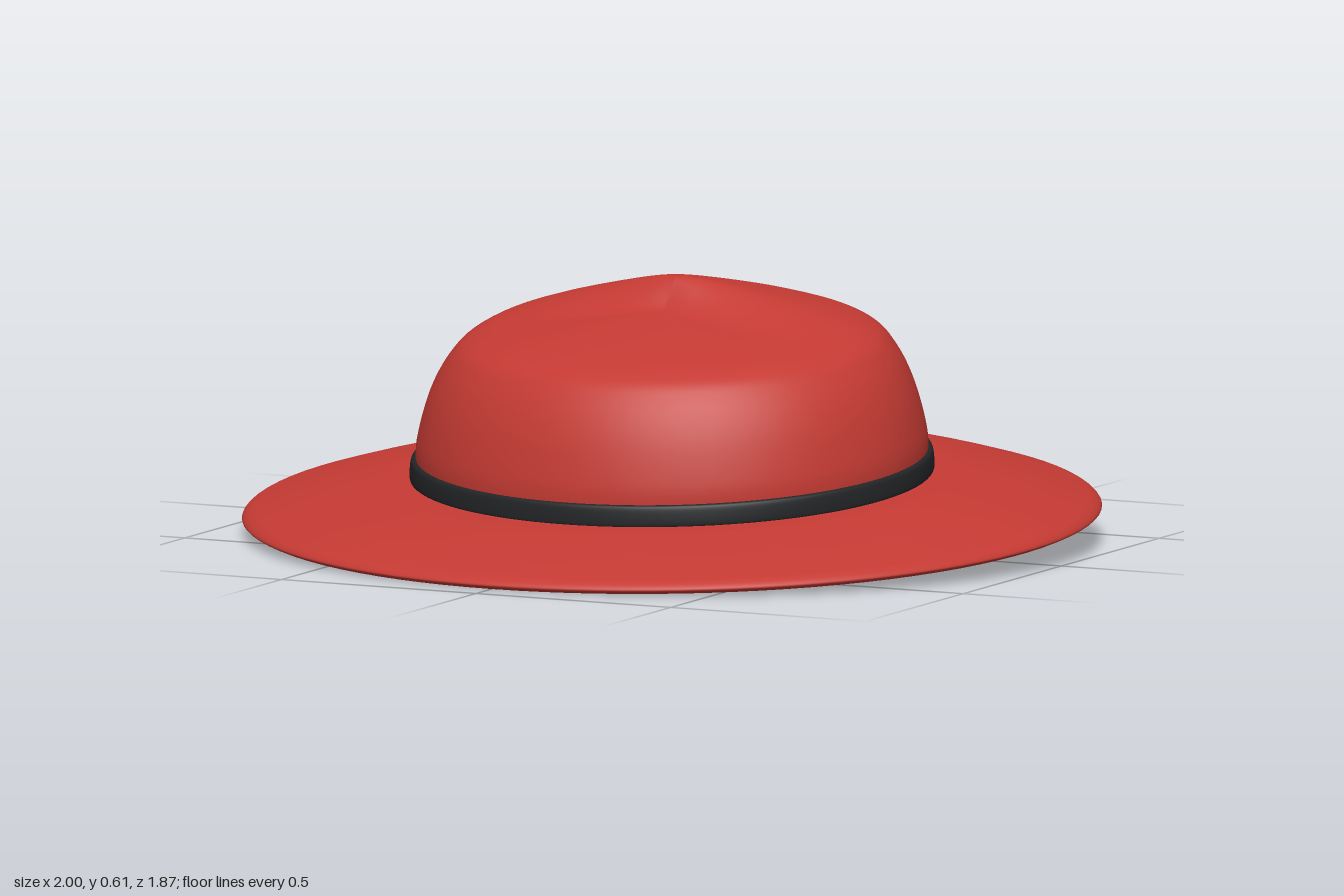
import * as THREE from 'three';
import { mergeVertices } from 'three/addons/utils/BufferGeometryUtils.js';

const felt = new THREE.MeshStandardMaterial({ color: 0xc43a33, side: THREE.DoubleSide });
const ribbon = new THREE.MeshStandardMaterial({ color: 0x222426, side: THREE.DoubleSide });
const CROWN_R = 0.6;

// Smooth profile through a few [radius, height] points
function profile(points, steps) {
  const curve = new THREE.SplineCurve(points.map(([r, y]) => new THREE.Vector2(r, y)));
  return curve.getPoints(steps).map((p) => p.setX(Math.max(0, p.x)));
}

// Revolve a profile, then move every vertex by a rule; weld for seamless normals
function revolved(name, points, material, rule) {
  let geo = new THREE.LatheGeometry(points, 96);
  geo.deleteAttribute('uv');
  geo.deleteAttribute('normal');
  const pos = geo.attributes.position;
  const v = new THREE.Vector3();
  for (let i = 0; i < pos.count; i++) {
    v.fromBufferAttribute(pos, i);
    rule(v, Math.hypot(v.x, v.z));
    pos.setXYZ(i, v.x, v.y, v.z);
  }
  geo = mergeVertices(geo, 1e-5);
  geo.computeVertexNormals();
  const mesh = new THREE.Mesh(geo, material);
  mesh.name = name;
  return mesh;
}

// Oval plan and forward tilt shared by crown and band
function ovalTilt(v) {
  v.z *= 0.895;
  v.y -= 0.09 * v.z;
}

export function createModel() {
  const hat = new THREE.Group();
  hat.name = 'hat';

  // Brim: thin domed sheet with a small lip, tilting less towards its rim
  const brimPoints = profile([
    [0.985, 0.053], [1, 0.062], [0.985, 0.078], [0.95, 0.09], [0.83, 0.12],
    [0.68, 0.146], [0.61, 0.152], [0.597, 0.168],
  ], 40);
  hat.add(revolved('brim', brimPoints, felt, (v, r) => {
    const k = THREE.MathUtils.clamp((r - CROWN_R) / (1 - CROWN_R), 0, 1);
    v.z *= THREE.MathUtils.lerp(0.895, 0.935, k);
    v.y -= THREE.MathUtils.lerp(0.09, 0.056, k) * v.z;
  }));

  // Crown: dome with its front half pressed down from a central ridge
  const crownPoints = profile([
    [0.6, 0.175], [0.598, 0.24], [0.57, 0.345], [0.528, 0.43], [0.475, 0.483],
    [0.36, 0.525], [0.2, 0.568], [0.06, 0.6], [0, 0.603],
  ], 64);
  hat.add(revolved('crown', crownPoints, felt, (v, r) => {
    const width = 0.06 + 0.3 * Math.abs(v.x);
    const press = THREE.MathUtils.smoothstep(v.z, -0.03 - 0.3 * Math.abs(v.x), width);
    const top = THREE.MathUtils.smoothstep(v.y, 0.25, 0.45);
    v.y -= 0.07 * (1 - r / CROWN_R) * press * top;
    ovalTilt(v);
  }));

  // Band: rounded ribbon around the foot of the crown
  const bandPoints = profile([
    [0.594, 0.15], [0.61, 0.15], [0.615, 0.158], [0.613, 0.188], [0.608, 0.199],
    [0.597, 0.199], [0.594, 0.19], [0.594, 0.15],
  ], 28);
  hat.add(revolved('hatBand', bandPoints, ribbon, ovalTilt));

  return hat;
}
